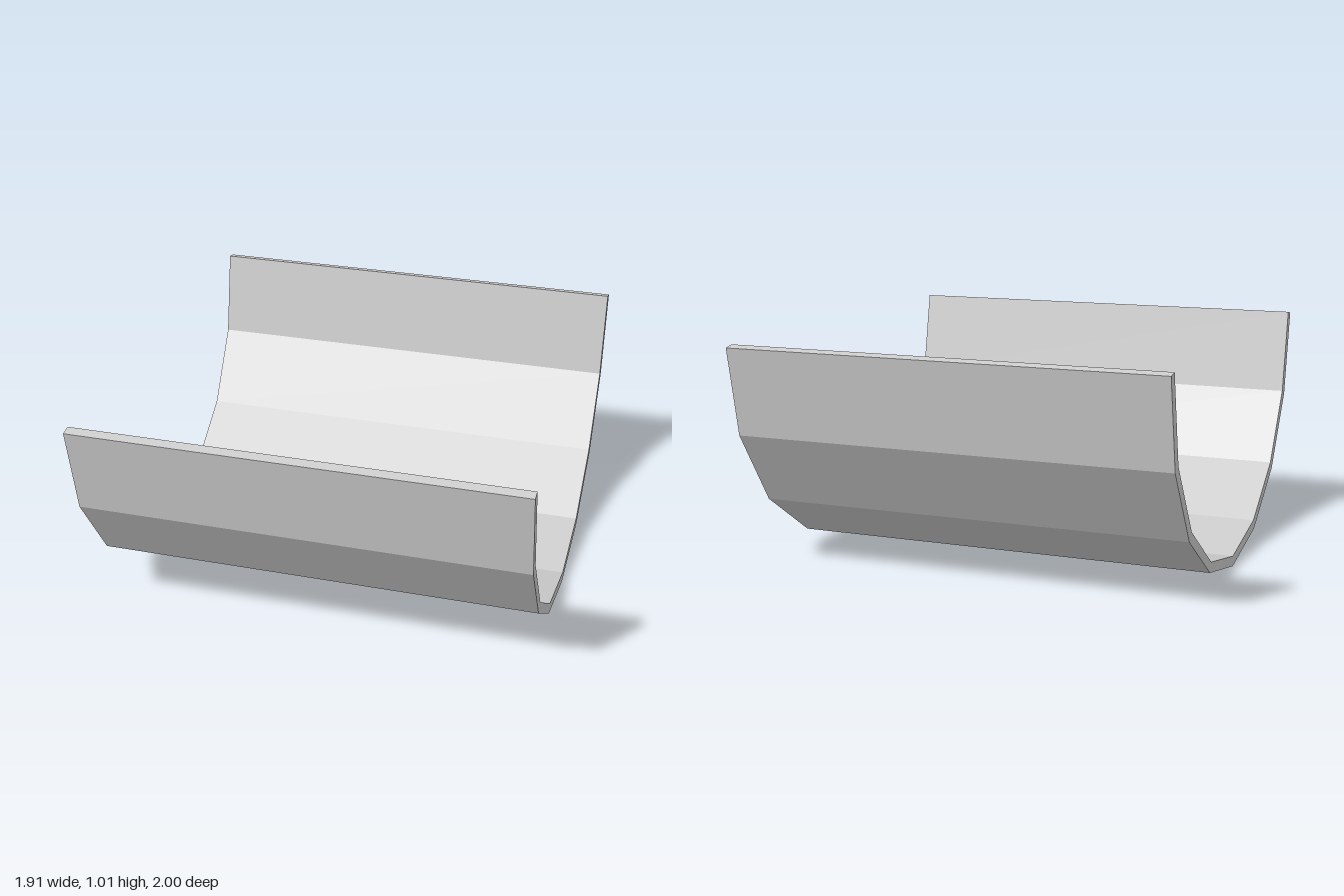
import * as THREE from 'three';

const SEGMENTS = 8;
const RADIUS = 1;
const WALL = 0.045;
const LENGTH = 1.906;

export function createModel() {
  const group = new THREE.Group();
  group.name = 'halfPipe';

  // Half-octagonal-ring cross-section: outer arc, then inner arc back
  const step = Math.PI / SEGMENTS;
  const outer = [], inner = [];
  for (let i = 0; i <= SEGMENTS; i++) {
    const a = Math.PI + i * step;
    const dir = new THREE.Vector2(Math.cos(a), Math.sin(a));
    outer.push(dir.clone().multiplyScalar(RADIUS));
    inner.push(dir.clone().multiplyScalar(RADIUS - WALL / Math.cos(step / 2)));
  }
  // Rims are cut square to the wall, so their inner edge sits a little higher
  const rimX = RADIUS - WALL * Math.cos(step / 2);
  const rimY = WALL * Math.sin(step / 2);
  inner[0].set(-rimX, rimY);
  inner[SEGMENTS].set(rimX, rimY);

  // Extrude along the trough, then turn its length onto x
  const geometry = new THREE.ExtrudeGeometry(
    new THREE.Shape([...outer, ...inner.reverse()]),
    { depth: LENGTH, bevelEnabled: false, steps: 1 }
  );
  geometry.translate(0, RADIUS - 0.002, -LENGTH / 2);
  geometry.rotateY(Math.PI / 2);
  geometry.translate(0, -geometry.boundingBox?.min.y || 0, 0);

  const trough = new THREE.Mesh(
    geometry,
    new THREE.MeshStandardMaterial({ color: 0xcccccc, flatShading: true })
  );
  trough.name = 'troughShell';
  group.add(trough);
  return group;
}
